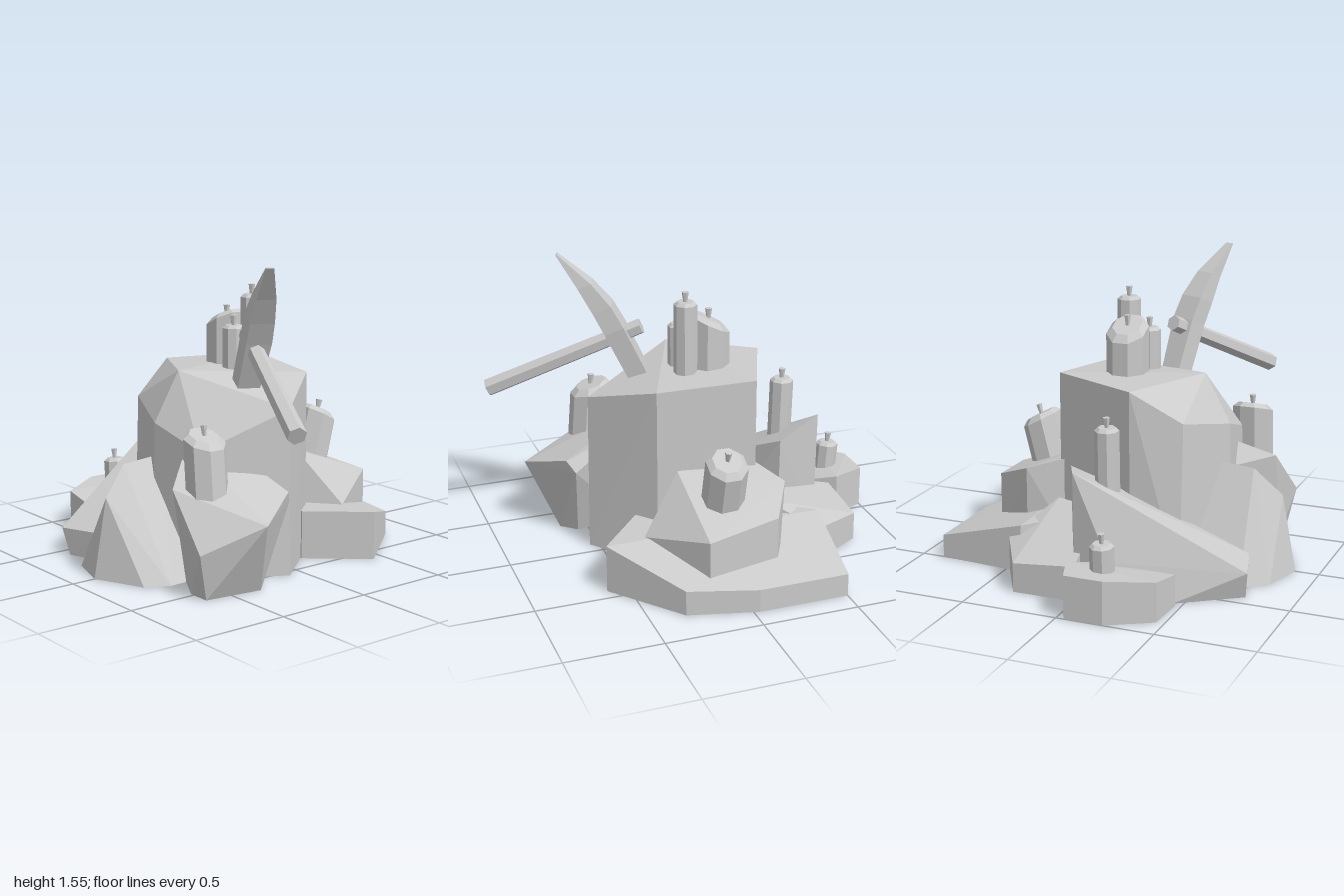
import * as THREE from 'three';
import { ConvexGeometry } from 'three/addons/geometries/ConvexGeometry.js';

const V = (p) => new THREE.Vector3(...p);
const grey = new THREE.MeshStandardMaterial({ color: 0xcccccc, flatShading: true, side: THREE.DoubleSide });

function mesh(name, geometry) {
  const m = new THREE.Mesh(geometry, grey);
  m.name = name;
  return m;
}

// Faceted boulder: hull of upper corners and ground corners [x, z], open underneath.
// Without ground corners the upper corners drop straight down.
function rock(name, top, ground = top.map(([x, , z]) => [x, z])) {
  const hull = new ConvexGeometry([...top.map(V), ...ground.map(([x, z]) => V([x, 0, z]))]);
  const p = hull.attributes.position.array;
  const kept = [];
  for (let i = 0; i < p.length; i += 9) {
    if (Math.max(p[i + 1], p[i + 4], p[i + 7]) > 0.001) kept.push(...p.slice(i, i + 9));
  }
  const g = new THREE.BufferGeometry();
  g.setAttribute('position', new THREE.Float32BufferAttribute(kept, 3));
  g.computeVertexNormals();
  return mesh(name, g);
}

// Eight-sided candle with bevelled, optionally slanted top and a flared wick
function candle(name, [x, y, z], r, h, { slantX = 0, slantZ = 0, tiltX = 0, tiltZ = 0 } = {}) {
  const group = new THREE.Group();
  group.name = name;
  const profile = [[r, 0], [r, h], [r * 0.72, h + r * 0.25], [0.001, h + r * 0.25]];
  const body = new THREE.LatheGeometry(profile.map(([a, b]) => new THREE.Vector2(a, b)), 8, Math.PI / 8);
  const pos = body.attributes.position;
  for (let i = 0; i < pos.count; i++) {
    if (pos.getY(i) > 0) pos.setY(i, pos.getY(i) + slantX * pos.getX(i) + slantZ * pos.getZ(i));
  }
  const wick = mesh('wick', new THREE.CylinderGeometry(0.018, 0.01, 0.055, 6));
  wick.position.y = h + r * 0.25 + 0.022;
  group.add(mesh('wax', body), wick);
  group.position.set(x, y, z);
  group.rotation.set(tiltX, 0, tiltZ);
  return group;
}

// Pickaxe: curved blade lofted from four-cornered sections, on a six-sided handle
function pickaxe() {
  const group = new THREE.Group();
  group.name = 'pickaxe';
  const a = V([0.24, 1.18, 0.11]), b = V([0.98, 0.83, 0.41]);
  const along = b.clone().sub(a);
  const handle = mesh('handle', new THREE.CylinderGeometry(0.048, 0.042, along.length(), 6));
  handle.position.copy(a).lerp(b, 0.5);
  along.normalize();
  handle.quaternion.setFromUnitVectors(V([0, 1, 0]), along);

  // centre x, y, z, half width, half thickness
  const sections = [
    [0.21, 0.8, 0.115, 0.045, 0.05],
    [0.255, 0.93, 0.125, 0.05, 0.058],
    [0.365, 1.17, 0.15, 0.052, 0.066],
    [0.42, 1.28, 0.175, 0.05, 0.064],
    [0.5, 1.4, 0.21, 0.036, 0.05],
    [0.625, 1.55, 0.28, 0.004, 0.02],
  ];
  const side = V([-0.37, 0, 0.93]);
  const points = [], index = [];
  sections.forEach(([x, y, z, w, t], i) => {
    for (const [u, v] of [[-1, -1], [1, -1], [1, 1], [-1, 1]]) {
      points.push(...V([x, y, z]).addScaledVector(along, u * w).addScaledVector(side, v * t).toArray());
    }
    if (i === 0) return;
    for (let k = 0; k < 4; k++) {
      const p = (i - 1) * 4 + k, q = (i - 1) * 4 + ((k + 1) % 4);
      index.push(p, q, q + 4, p, q + 4, p + 4);
    }
  });
  const n = points.length / 3 - 4;
  index.push(0, 2, 1, 0, 3, 2, n, n + 1, n + 2, n, n + 2, n + 3);
  const g = new THREE.BufferGeometry();
  g.setAttribute('position', new THREE.Float32BufferAttribute(points, 3));
  g.setIndex(index);
  g.computeVertexNormals();
  group.add(handle, mesh('blade', g));
  return group;
}

export function createModel() {
  const model = new THREE.Group();
  model.name = 'candleRocks';

  // Tall central block
  model.add(rock('centralRock',
    [[-0.22, 0.98, -0.33], [0.28, 0.95, -0.25], [0.54, 0.84, 0.08], [0.02, 0.99, 0.37],
      [-0.41, 0.97, 0.13], [-0.32, 0.81, 0.38], [0.01, 0.74, 0.51], [0.33, 0.64, 0.47]],
    [[-0.22, -0.33], [0.28, -0.25], [0.55, 0.08], [0.34, 0.47], [0.01, 0.53], [-0.36, 0.38], [-0.4, 0.13]]));

  // Surrounding boulders
  model.add(rock('frontRock',
    [[-0.05, 0.54, 0.66], [-0.05, 0.56, 0.42], [0, 0.4, 0.8]],
    [[-0.32, 0.68], [-0.22, 0.81], [0, 0.875], [0.26, 0.76], [0.32, 0.64], [0.3, 0.3], [-0.35, 0.3]]));
  model.add(rock('frontLeftRock',
    [[0.13, 0.64, 0.4], [0.12, 0.48, 0.49], [0.35, 0.49, 0.65], [0.62, 0.23, 0.69],
      [0.8, 0.37, 0.43], [0.64, 0.46, 0.17], [0.6, 0.4, 0.13], [0.3, 0.58, 0.2]],
    [[0.32, 0.55], [0.48, 0.64], [0.6, 0.64], [0.64, 0.34], [0.56, 0.27], [0.25, 0.3]]));
  model.add(rock('slopingRock',
    [[-0.69, 0.62, -0.05], [-0.42, 0.56, -0.18], [-0.3, 0.42, 0.1], [-0.22, 0.15, 0.7],
      [-0.46, 0.14, 0.77], [-0.72, 0.2, 0.15]],
    [[-0.68, -0.05], [-0.42, -0.16], [-0.22, 0.1], [-0.22, 0.69], [-0.42, 0.75], [-0.63, 0.45]]));
  model.add(rock('rightBackRock',
    [[-0.79, 0.15, -0.33], [-0.53, 0.18, -0.48], [-0.25, 0.32, -0.33], [-0.35, 0.32, -0.05], [-0.79, 0.18, 0]]));
  model.add(rock('smallRightRock',
    [[-1, 0.22, 0.04], [-0.83, 0.22, -0.02], [-0.66, 0.17, 0.1], [-0.65, 0.16, 0.47],
      [-0.87, 0.2, 0.46], [-1, 0.22, 0.24]]));
  model.add(rock('backSlab',
    [[-0.5, 0.12, -0.88], [-0.03, 0.12, -0.88], [0.32, 0.13, -0.79], [0.61, 0.25, -0.43],
      [0.37, 0.25, -0.15], [-0.4, 0.25, -0.3], [-0.54, 0.25, -0.41]]));
  model.add(rock('backRock',
    [[-0.32, 0.48, -0.48], [-0.2, 0.39, -0.69], [0.18, 0.345, -0.75], [0.18, 0.52, -0.27],
      [-0.2, 0.54, -0.25], [0.4, 0.25, -0.4]],
    [[-0.28, -0.5], [-0.2, -0.69], [0.18, -0.75], [0.4, -0.4], [0.28, -0.25], [-0.2, -0.25]]));

  // Candles on top and on the boulders
  model.add(candle('wideTopCandle', [-0.08, 0.9, -0.015], 0.108, 0.3, { slantX: 0.5 }));
  model.add(candle('tallTopCandle', [0.063, 0.9, -0.065], 0.06, 0.43));
  model.add(candle('shortTopCandle', [0.058, 0.9, 0.05], 0.058, 0.28));
  model.add(candle('slopeCandle', [-0.51, 0.36, 0.06], 0.062, 0.44, { tiltZ: 0.03 }));
  model.add(candle('smallRockCandle', [-0.84, 0.15, 0.175], 0.06, 0.185, { tiltZ: 0.08 }));
  model.add(candle('frontCandle', [0.43, 0.42, 0.5], 0.105, 0.3, { slantX: -0.4, tiltZ: 0.08 }));
  model.add(candle('backCandle', [0.02, 0.38, -0.48], 0.108, 0.28, { slantZ: 0.25, tiltX: -0.25 }));

  model.add(pickaxe());
  return model;
}
